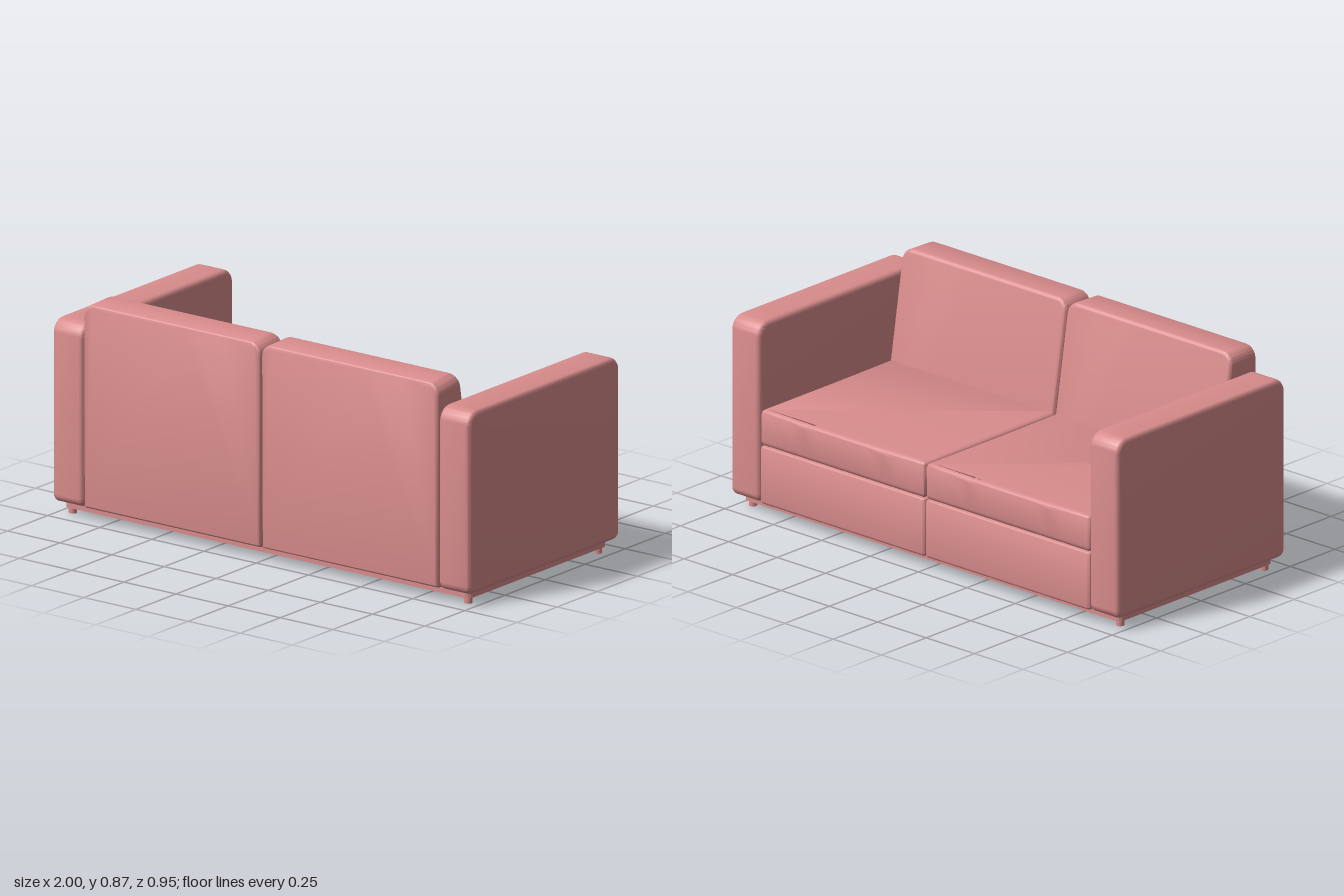
import * as THREE from 'three';
import { toCreasedNormals } from 'three/addons/utils/BufferGeometryUtils.js';

const fabric = new THREE.MeshStandardMaterial({ color: 0xd98c8c });

// Rounded outline with separate radii above and below; the upper edge is subdivided
function outline(x0, x1, y0, y1, rTop, rLow, Kind = THREE.Shape) {
  const s = new Kind();
  s.moveTo(x0 + rLow, y0);
  s.lineTo(x1 - rLow, y0);
  s.absarc(x1 - rLow, y0 + rLow, rLow, -Math.PI / 2, 0, false);
  s.lineTo(x1, y1 - rTop);
  s.absarc(x1 - rTop, y1 - rTop, rTop, 0, Math.PI / 2, false);
  const n = 12, w = x1 - x0 - 2 * rTop;
  for (let i = 1; i < n; i++) s.lineTo(x1 - rTop - (w * i) / n, y1);
  s.absarc(x0 + rTop, y1 - rTop, rTop, Math.PI / 2, Math.PI, false);
  s.lineTo(x0, y0 + rLow);
  s.absarc(x0 + rLow, y0 + rLow, rLow, Math.PI, Math.PI * 1.5, false);
  return s;
}

// Extrusion from 0 to depth whose rounded edges stay inside the outline
function slab(shape, depth, bevel) {
  const g = new THREE.ExtrudeGeometry(shape, {
    depth: depth - 2 * bevel, curveSegments: 6, bevelEnabled: bevel > 0,
    bevelSize: bevel, bevelThickness: bevel, bevelOffset: -bevel, bevelSegments: 4,
  });
  return g.translate(0, 0, bevel);
}

// Move every vertex by a rule
function deform(g, rule) {
  const p = g.attributes.position, v = new THREE.Vector3();
  for (let i = 0; i < p.count; i++) {
    rule(v.fromBufferAttribute(p, i));
    p.setXYZ(i, v.x, v.y, v.z);
  }
  return g;
}

export function createModel() {
  const sofa = new THREE.Group();
  sofa.name = 'sofa';
  const add = (name, geometry) => {
    const mesh = new THREE.Mesh(toCreasedNormals(geometry, 0.7), fabric);
    mesh.name = name;
    sofa.add(mesh);
    return mesh;
  };

  for (const [side, label] of [[1, 'left'], [-1, 'right']]) {
    // Arm: side profile extruded across its width
    const arm = slab(outline(-0.47, 0.475, 0.05, 0.778, 0.058, 0.032), 0.148, 0.02);
    arm.rotateY(-Math.PI / 2).translate(side > 0 ? 1 : -0.852, 0, 0);
    add(label + 'Arm', arm);

    const x0 = side > 0 ? 0.002 : -0.851, x1 = x0 + 0.849, mid = (x0 + x1) / 2;

    // Back: upright panel whose seat-side face leans
    const back = slab(outline(x0, x1, 0.05, 0.866, 0.05, 0.012), 0.14, 0.014);
    deform(back, (v) => {
      const t = 1 - v.z / 0.14; // 1 on the seat side
      v.z += 0.335 - t * 0.171 * (0.87 - v.y);
      if (v.y > 0.7) v.y += 0.005 * t;
    });
    add(label + 'Back', back);

    // Seat base: plan outline extruded upward
    const base = slab(outline(x0, x1, -0.3, 0.466, 0.012, 0.01), 0.235, 0.012);
    base.rotateX(-Math.PI / 2).translate(0, 0.05, 0);
    add(label + 'SeatBase', base);

    // Seat cushion: front bows outward toward its upper edge
    const cushion = slab(outline(x0, x1, -0.3, 0.464, 0.014, 0.01), 0.147, 0.02);
    cushion.rotateX(-Math.PI / 2).translate(0, 0.285, 0);
    deform(cushion, (v) => {
      const u = (v.x - mid) / 0.425;
      if (v.z < -0.3) v.z -= 0.01 * (1 - u * u) * ((v.y - 0.285) / 0.147);
    });
    add(label + 'SeatCushion', cushion);
  }

  // Open frame under the body
  const ring = outline(-0.972, 0.972, -0.435, 0.427, 0.025, 0.025);
  ring.holes.push(outline(-0.95, 0.95, -0.413, 0.405, 0.012, 0.012, THREE.Path));
  add('baseFrame', slab(ring, 0.03, 0).rotateX(-Math.PI / 2).translate(0, 0.025, 0));

  // Feet
  for (const x of [-0.948, 0.948]) {
    for (const z of [-0.398, 0.41]) {
      add('foot', new THREE.CylinderGeometry(0.016, 0.016, 0.05, 16).translate(x, 0.025, z));
    }
  }
  return sofa;
}
